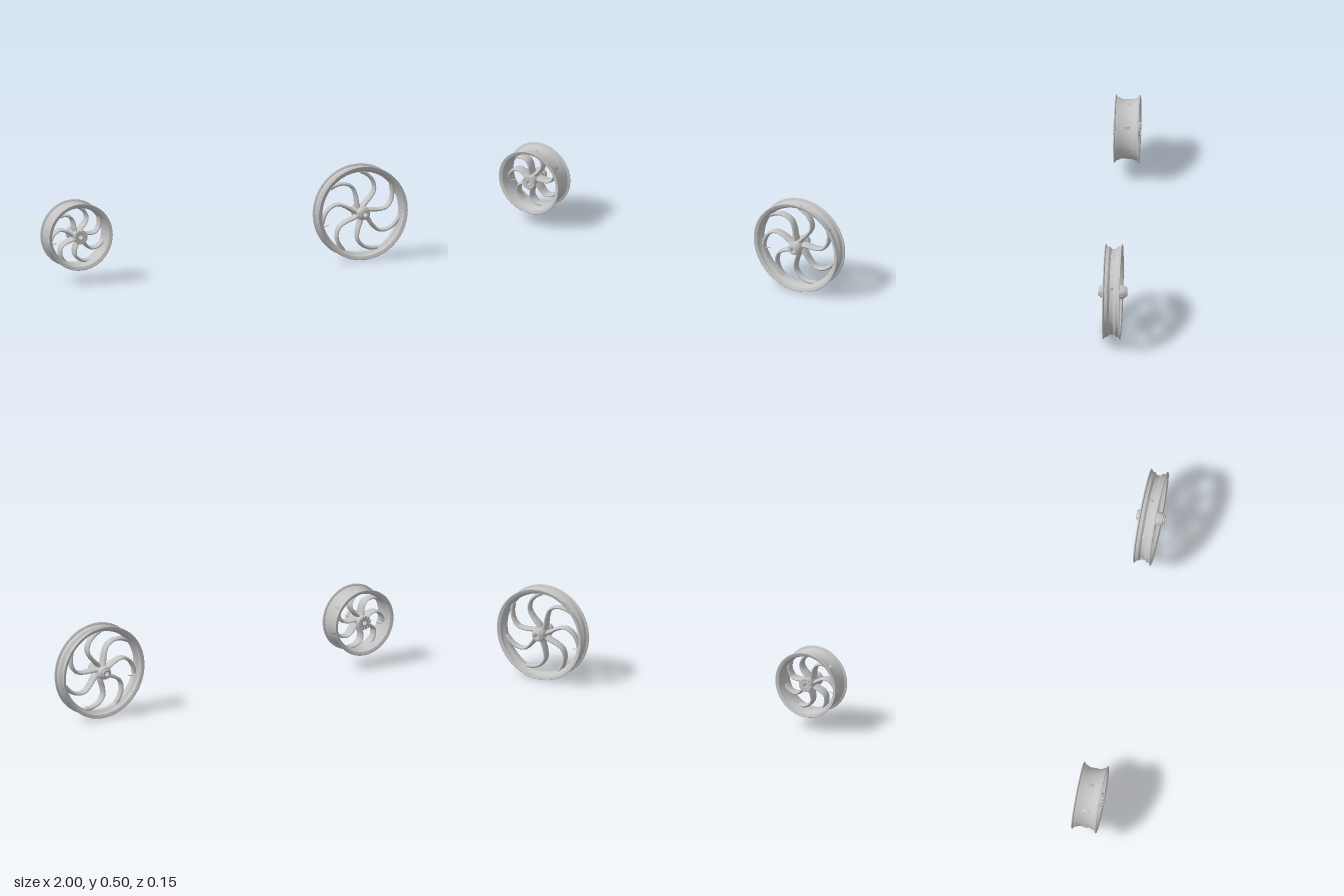
import * as THREE from 'three';
import { toCreasedNormals } from 'three/addons/utils/BufferGeometryUtils.js';

const metal = new THREE.MeshStandardMaterial({ color: 0xc4c4c4 });
metal.name = 'brushed silver';

function add(parent, name, geometry) {
  const mesh = new THREE.Mesh(geometry, metal);
  mesh.name = name;
  parent.add(mesh);
  return mesh;
}

// Revolve a profile of [radius, z] points about the z axis, keeping edges crisp
function turned(points, segments) {
  const g = new THREE.LatheGeometry(points.map(([r, z]) => new THREE.Vector2(r, z)), segments);
  g.rotateX(Math.PI / 2);
  return toCreasedNormals(g, 0.55);
}

// Closed, symmetric profile: the half outline from the centre outwards is mirrored in z
function symmetric(outer, inner) {
  const flip = (list) => list.map(([r, z]) => [r, -z]);
  const loop = [...flip(outer).reverse(), ...outer, ...[...inner].reverse(), ...flip(inner)];
  loop.push(loop[0]);
  return loop;
}

// Curved spoke: an oval section swept along a hooked path from the hub to the rim
function spokeGeometry(path, width, depthHub, depthRim) {
  const curve = new THREE.CatmullRomCurve3(path.map(([r, degrees]) => {
    const a = THREE.MathUtils.degToRad(degrees);
    return new THREE.Vector3(r * Math.cos(a), r * Math.sin(a), 0);
  }));
  const steps = 28, sides = 14, positions = [], index = [];
  for (let i = 0; i <= steps; i++) {
    const t = i / steps;
    const c = curve.getPointAt(t), tan = curve.getTangentAt(t);
    const w = width * (1.15 - 0.3 * Math.sin(Math.PI * t));
    const d = THREE.MathUtils.lerp(depthHub, depthRim, t);
    for (let j = 0; j < sides; j++) {
      const a = (j / sides) * Math.PI * 2;
      positions.push(c.x - tan.y * Math.cos(a) * w, c.y + tan.x * Math.cos(a) * w, Math.sin(a) * d);
      if (i < steps) {
        const k = (j + 1) % sides, p = i * sides, q = p + sides;
        index.push(p + j, p + k, q + j, p + k, q + k, q + j);
      }
    }
  }
  const g = new THREE.BufferGeometry();
  g.setAttribute('position', new THREE.Float32BufferAttribute(positions, 3));
  g.setIndex(index);
  g.computeVertexNormals();
  return g;
}

function createWheel(name, o) {
  const wheel = new THREE.Group();
  wheel.name = name;

  // Rim with rolled flanges, bead seats and a dropped centre
  const { R, W, well, wellHalf, seatHalf } = o;
  const seat = R - 0.0115, thick = 0.007;
  const outer = [
    [well, wellHalf], [seat - 0.003, seatHalf], [seat, W - 0.009], [R - 0.004, W - 0.007],
    [R - 0.001, W - 0.005], [R, W - 0.002], [R - 0.002, W],
  ];
  const inner = [
    [well - thick, wellHalf + 0.002], [seat - thick - 0.003, seatHalf + 0.003],
    [seat - thick, W - 0.006], [R - 0.009, W - 0.002], [R - 0.005, W],
  ];
  add(wheel, 'rim', turned(symmetric(outer, inner), 96));

  // Seven swept spokes
  const spoke = spokeGeometry(o.path, o.spokeWidth, o.depthHub, o.depthRim);
  for (let i = 0; i < 7; i++) {
    add(wheel, 'spoke', spoke).rotation.z = THREE.MathUtils.degToRad(88) + (i * Math.PI * 2) / 7;
  }

  // Hub barrel with an open axle bore
  add(wheel, 'hub', turned(symmetric(o.hub, [[0.012, 0], [0.012, o.hub.at(-1)[1]]]), 48));

  // Bolt circle on both hub faces
  if (o.bolts) {
    const bolt = new THREE.CylinderGeometry(0.0045, 0.0045, 0.008, 12);
    bolt.rotateX(Math.PI / 2);
    for (const side of [-1, 1]) {
      for (let i = 0; i < o.bolts; i++) {
        const a = (i / o.bolts) * Math.PI * 2 + 0.3;
        add(wheel, 'hubBolt', bolt)
          .position.set(0.03 * Math.cos(a), 0.03 * Math.sin(a), side * o.boltZ);
      }
    }
  }

  // Valve stem pointing inwards from the well
  const angle = THREE.MathUtils.degToRad(198);
  const valve = new THREE.Group();
  valve.name = 'valve';
  valve.rotation.z = angle - Math.PI / 2;
  add(valve, 'valveStem', new THREE.CylinderGeometry(0.0022, 0.0022, 0.034, 10))
    .position.y = well - 0.022;
  add(valve, 'valveNut', new THREE.CylinderGeometry(0.004, 0.004, 0.004, 6))
    .position.y = well - thick - 0.002;
  wheel.add(valve);

  wheel.position.set(o.x, o.y, 0);
  return wheel;
}

export function createModel() {
  const group = new THREE.Group();
  group.name = 'wheelPair';

  // Tall narrow wheel
  group.add(createWheel('frontWheel', {
    x: 0.7525, y: 0.2475, R: 0.2475, W: 0.045, well: 0.221, wellHalf: 0.009, seatHalf: 0.021,
    path: [[0.02, -12], [0.05, -26], [0.095, -33], [0.14, -31], [0.175, -21], [0.2, -9], [0.218, 2]],
    spokeWidth: 0.0105, depthHub: 0.03, depthRim: 0.016,
    hub: [[0.031, 0], [0.031, 0.03], [0.036, 0.036], [0.036, 0.046], [0.031, 0.064],
      [0.025, 0.066], [0.024, 0.073], [0.022, 0.075]],
  }));

  // Short wide wheel
  group.add(createWheel('rearWheel', {
    x: -0.823, y: 0.247, R: 0.177, W: 0.065, well: 0.155, wellHalf: 0.03, seatHalf: 0.043,
    path: [[0.02, -14], [0.045, -28], [0.075, -33], [0.105, -29], [0.128, -18], [0.142, -8], [0.152, 1]],
    spokeWidth: 0.0095, depthHub: 0.036, depthRim: 0.022,
    hub: [[0.031, 0], [0.031, 0.045], [0.037, 0.05], [0.037, 0.064], [0.035, 0.066], [0.02, 0.066]],
    bolts: 10, boltZ: 0.069,
  }));

  return group;
}
